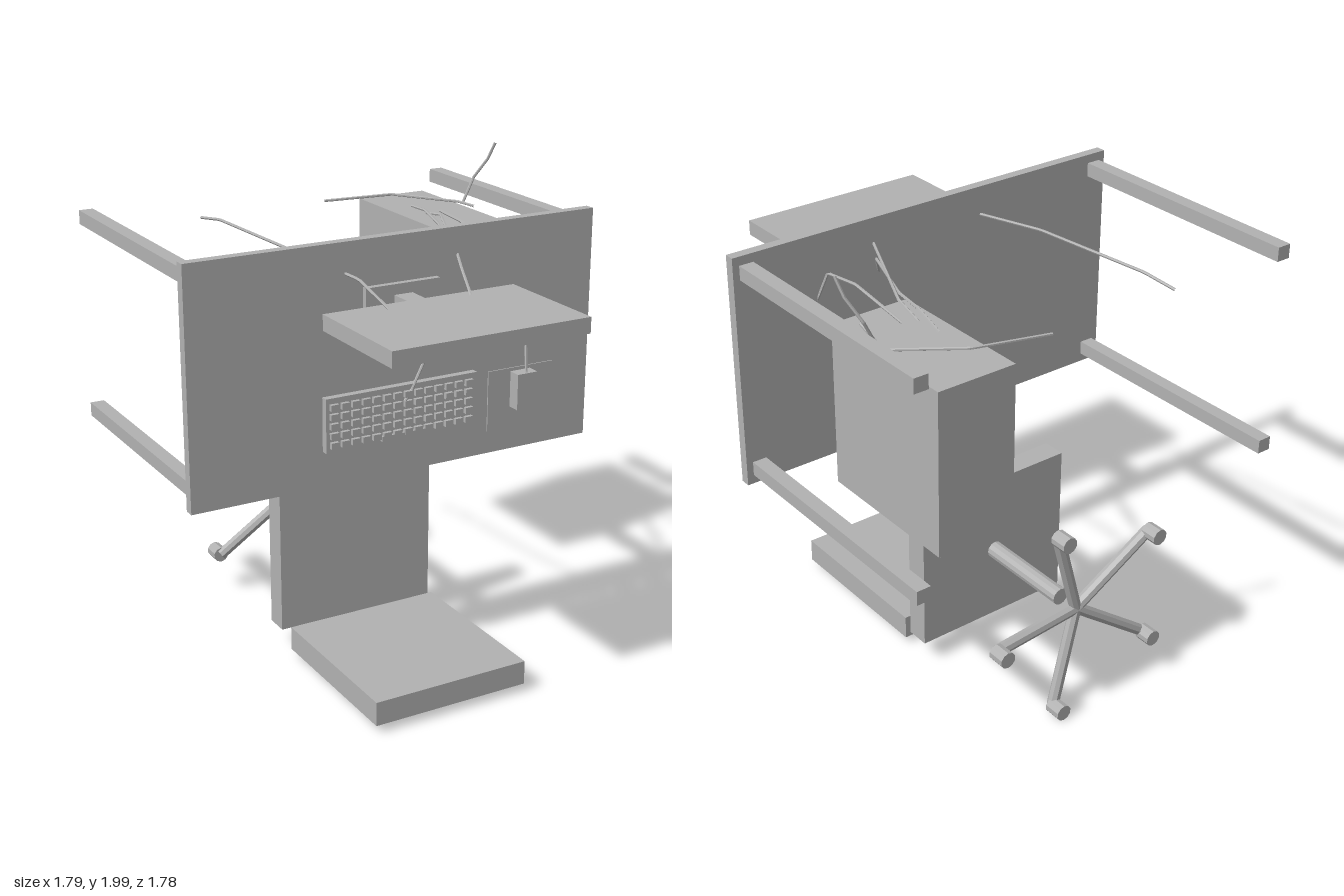
import * as THREE from 'three';

const grey = new THREE.MeshStandardMaterial({ color: 0xb2b2b2, flatShading: true });
grey.name = 'plain grey';

function add(parent, name, geometry) {
  const mesh = new THREE.Mesh(geometry, grey);
  mesh.name = name;
  parent.add(mesh);
  return mesh;
}

// Box given by its extents on each axis
function box(parent, name, [x0, x1], [y0, y1], [z0, z1]) {
  const mesh = add(parent, name, new THREE.BoxGeometry(x1 - x0, y1 - y0, z1 - z0));
  mesh.position.set((x0 + x1) / 2, (y0 + y1) / 2, (z0 + z1) / 2);
  return mesh;
}

// Cylinder between two points
function rod(parent, name, a, b, radius, sides) {
  const from = new THREE.Vector3(...a), to = new THREE.Vector3(...b);
  const dir = to.clone().sub(from);
  const mesh = add(parent, name, new THREE.CylinderGeometry(radius, radius, dir.length(), sides));
  mesh.position.copy(from).add(to).multiplyScalar(0.5);
  mesh.quaternion.setFromUnitVectors(new THREE.Vector3(0, 1, 0), dir.normalize());
  return mesh;
}

// Cable running in straight stretches through the points
function cable(parent, name, points) {
  const path = new THREE.CurvePath();
  const v = points.map((p) => new THREE.Vector3(...p));
  for (let i = 1; i < v.length; i++) path.add(new THREE.LineCurve3(v[i - 1], v[i]));
  add(parent, name, new THREE.TubeGeometry(path, 48, 0.006, 6, false));
}

function group(parent, name) {
  const g = new THREE.Group();
  g.name = name;
  parent.add(g);
  return g;
}

export function createModel() {
  const model = new THREE.Group();
  model.name = 'workstation';

  // Desk lying on its side, legs pointing back
  const desk = group(model, 'desk');
  box(desk, 'deskTop', [-0.895, 0.895], [0.88, 1.844], [0.188, 0.23]);
  for (const x of [-0.837, 0.837]) {
    for (const y of [0.946, 1.779]) {
      box(desk, 'deskLeg', [x - 0.03, x + 0.03], [y - 0.029, y + 0.029], [-0.888, 0.188]);
    }
  }

  // Monitor with its screen turned down
  const monitor = group(model, 'monitor');
  box(monitor, 'monitorCase', [-0.415, 0.415], [1.567, 1.63], [0.384, 0.888]);
  box(monitor, 'screen', [-0.385, 0.385], [1.561, 1.567], [0.417, 0.855]);
  box(monitor, 'monitorNeck', [-0.04, 0.04], [1.55, 1.618], [0.256, 0.384]);
  box(monitor, 'monitorFoot', [-0.163, 0.163], [1.425, 1.66], [0.23, 0.256]);

  // Keyboard
  const keyboard = group(model, 'keyboard');
  box(keyboard, 'keyboardBase', [-0.34, 0.338], [1.028, 1.25], [0.23, 0.26]);
  for (let row = 0; row < 5; row++) {
    for (let col = 0; col < 14; col++) {
      const x = -0.308 + col * 0.0465, y = 1.215 - row * 0.0385;
      box(keyboard, 'key', [x - 0.017, x + 0.017], [y - 0.0125, y + 0.0125], [0.26, 0.276]);
    }
  }
  box(keyboard, 'spaceBar', [-0.102, 0.098], [1.039, 1.06], [0.26, 0.275]);

  // Mouse on its pad
  box(model, 'mousePad', [0.41, 0.72], [0.975, 1.23], [0.23, 0.235]);
  box(model, 'mouse', [0.516, 0.609], [1.065, 1.216], [0.235, 0.29]);

  // Computer tower
  const tower = group(model, 'tower');
  box(tower, 'towerCase', [0.434, 0.76], [1.065, 1.716], [-0.874, -0.248]);
  box(tower, 'towerPanel', [0.45, 0.744], [1.05, 1.065], [-0.86, -0.26]);
  box(tower, 'powerButton', [0.515, 0.54], [1.042, 1.05], [-0.35, -0.325]);

  // Chair lying on its back
  const chair = group(model, 'chair');
  box(chair, 'chairSeat', [-0.357, 0.355], [0.111, 0.765], [-0.222, -0.122]);
  box(chair, 'chairBackrest', [-0.342, 0.34], [0.042, 0.143], [-0.067, 0.655]);
  rod(chair, 'chairStem', [0, 0.438, -0.65], [0, 0.438, -0.232], 0.036, 12);
  for (let i = 0; i < 5; i++) {
    const a = (i / 5) * Math.PI * 2;
    const x = 0.418 * Math.cos(a), y = 0.438 + 0.418 * Math.sin(a);
    rod(chair, 'chairLeg', [0, 0.438, -0.74], [x, y, -0.772], 0.025, 8);
    rod(chair, 'caster', [x, y, -0.842], [x, y, -0.77], 0.034, 10);
  }

  // Cables
  const cables = group(model, 'cables');
  cable(cables, 'monitorPowerCable', [
    [-0.18, 1.635, 0.455], [-0.222, 1.715, 0.31], [-0.3, 1.747, -0.12],
    [-0.343, 1.755, -0.66], [-0.36, 1.735, -0.81]]);
  cable(cables, 'monitorSignalCable', [
    [0.177, 1.635, 0.455], [0.206, 1.71, 0.34], [0.27, 1.738, 0.2],
    [0.505, 1.752, -0.3], [0.522, 1.728, -0.44]]);
  cable(cables, 'keyboardCable', [
    [0, 1.19, 0.272], [0.035, 1.225, 0.262], [0.155, 1.42, 0.237], [0.25, 1.61, 0.195],
    [0.285, 1.687, 0.16], [0.45, 1.735, -0.225], [0.49, 1.752, -0.4], [0.522, 1.735, -0.563]]);
  cable(cables, 'mouseCable', [
    [0.563, 1.21, 0.278], [0.574, 1.34, 0.252], [0.579, 1.445, 0.232], [0.53, 1.6, 0.185],
    [0.51, 1.69, 0.155], [0.535, 1.735, -0.07], [0.58, 1.735, -0.425]]);
  cable(cables, 'towerPowerCable', [
    [0.225, 1.74, -0.815], [0.525, 1.75, -0.745], [0.748, 1.732, -0.548], [0.718, 1.75, -0.37]]);
  cable(cables, 'towerNetworkCable', [
    [0.748, 1.73, -0.515], [0.803, 1.84, -0.515], [0.845, 1.925, -0.47], [0.862, 1.998, -0.44]]);

  return model;
}
